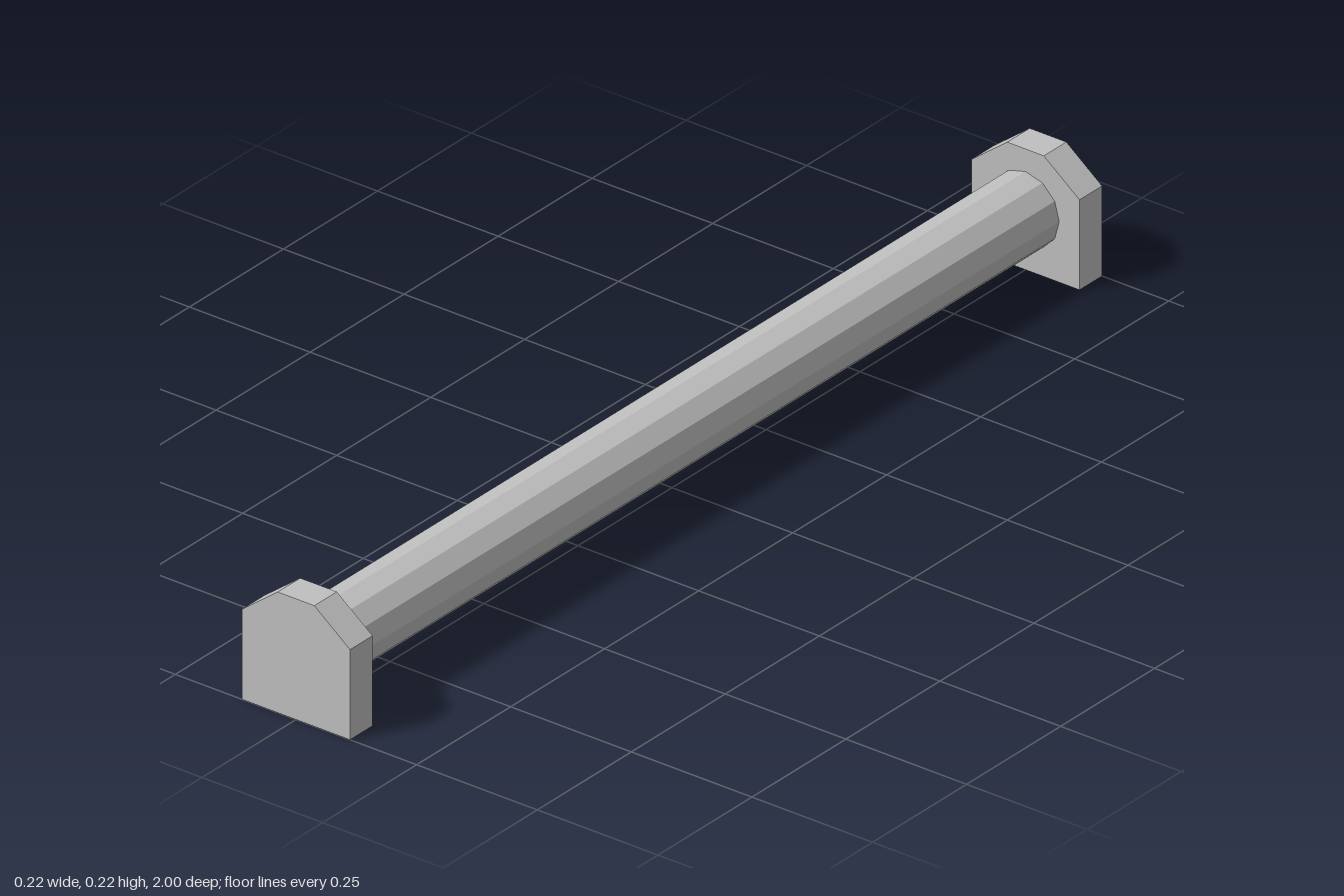
import * as THREE from 'three';

export function createModel() {
  const group = new THREE.Group();
  const grey = new THREE.MeshStandardMaterial({ color: 0xc0c0c0, flatShading: true });
  grey.name = 'grey';

  const plateDepth = 0.06;

  // End plates: square blocks with chamfered top corners
  const outline = new THREE.Shape([
    [-0.112, 0], [0.112, 0], [0.112, 0.168],
    [0.038, 0.225], [-0.038, 0.225], [-0.112, 0.168],
  ].map(([x, y]) => new THREE.Vector2(x, y)));
  const plateGeometry = new THREE.ExtrudeGeometry(outline, { depth: plateDepth, bevelEnabled: false });
  for (const [name, z] of [['frontEndPlate', 1 - plateDepth], ['backEndPlate', -1]]) {
    const plate = new THREE.Mesh(plateGeometry, grey);
    plate.name = name;
    plate.position.z = z;
    group.add(plate);
  }

  // Twelve-sided bar spanning the plates
  const barGeometry = new THREE.CylinderGeometry(0.07, 0.07, 2 - 2 * plateDepth, 12);
  barGeometry.rotateX(Math.PI / 2);
  const bar = new THREE.Mesh(barGeometry, grey);
  bar.name = 'bar';
  bar.position.y = 0.113;
  group.add(bar);

  return group;
}
